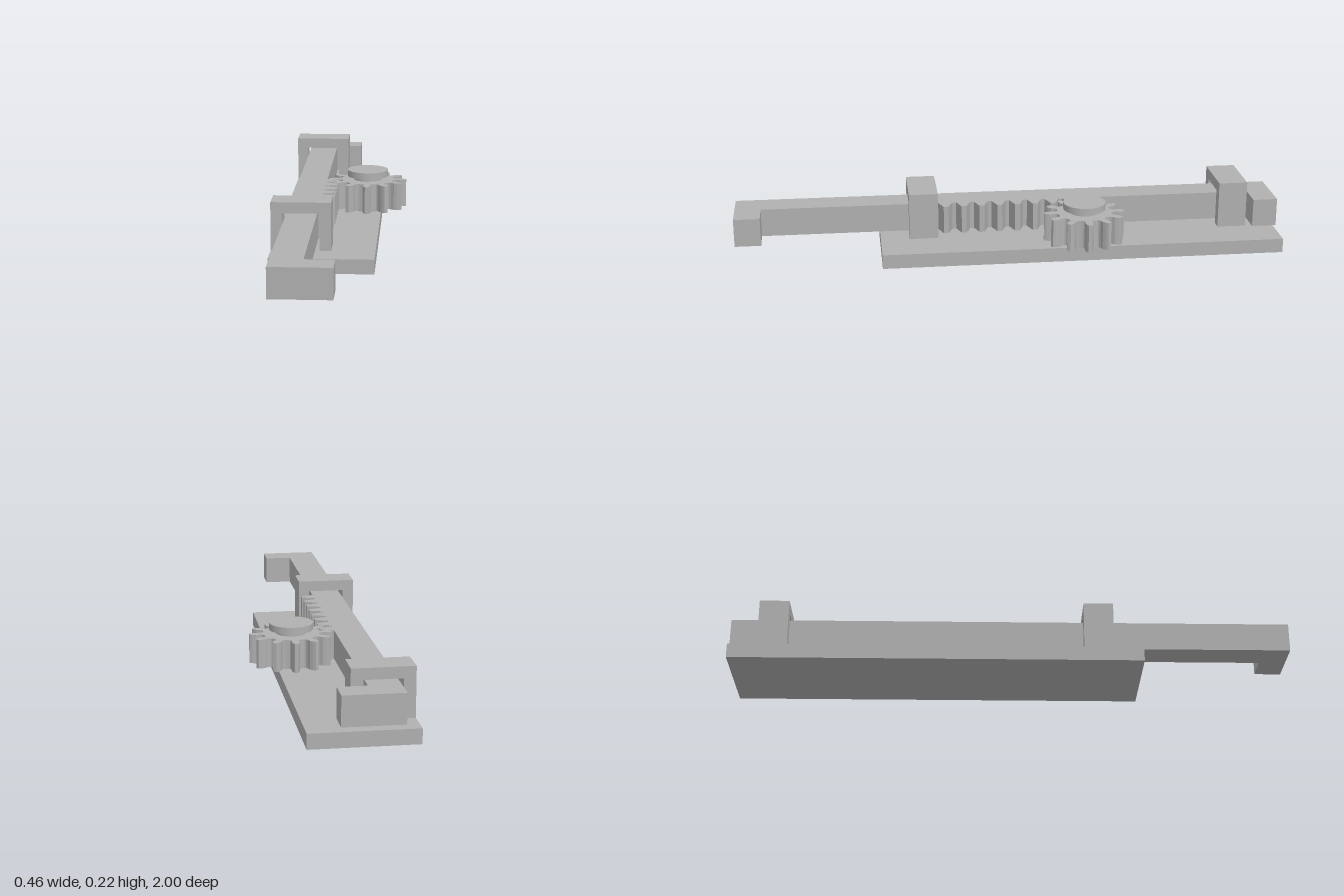
import * as THREE from 'three';

const grey = new THREE.MeshStandardMaterial({ color: 0xb0b0b0 });
grey.name = 'grey';

function part(name, geometry, x = 0, y = 0, z = 0) {
  const mesh = new THREE.Mesh(geometry, grey);
  mesh.name = name;
  mesh.position.set(x, y, z);
  return mesh;
}

// Flat outline given as [x, z] pairs, raised from y = 0 to the given height
function plate(points, height) {
  const shape = new THREE.Shape(points.map(([x, z]) => new THREE.Vector2(x, -z)));
  return new THREE.ExtrudeGeometry(shape, { depth: height, bevelEnabled: false }).rotateX(-Math.PI / 2);
}

const GEAR = { x: 0.082, z: -0.265, teeth: 12, pitch: 0.066 };
const BAR = { bottom: 0.067, height: 0.103 };

// Sliding bar with a hook at each end and a run of rack teeth
function rackOutline() {
  const left = -0.18, side = -0.072, tip = -0.026, hook = 0.027;
  const pts = [[left, -1], [hook, -1], [hook, -0.91], [side, -0.91]];
  for (let i = 0; i < 8; i++) {
    const z = GEAR.z + GEAR.pitch * (i + 0.5);
    pts.push([side, z - 0.026], [tip, z - 0.009], [tip, z + 0.009], [side, z + 0.026]);
  }
  pts.push([side, 0.905], [hook, 0.905], [hook, 1], [left, 1]);
  return pts;
}

// Gear outline: each tooth has a slim waist and rounded flanks
function gearOutline() {
  const flank = [[0.1, 0.017], [0.104, 0.0135], [0.113, 0.0125], [0.126, 0.0145], [0.138, 0.011], [0.147, 0.006]];
  const pts = [];
  for (let i = 0; i < GEAR.teeth; i++) {
    const mid = (i / GEAR.teeth) * Math.PI * 2;
    const add = (r, offset) => pts.push([r * Math.cos(mid + offset / r), r * Math.sin(mid + offset / r)]);
    flank.forEach(([r, half]) => add(r, -half));
    [...flank].reverse().forEach(([r, half]) => add(r, half));
    add(0.099, 0.099 * Math.PI / GEAR.teeth);
  }
  return pts;
}

// Upside-down U guide that straddles the bar
function guideGeometry() {
  const pts = [[-0.23, 0.052], [-0.19, 0.052], [-0.19, 0.184], [-0.06, 0.184],
    [-0.06, 0.052], [-0.02, 0.052], [-0.02, 0.223], [-0.23, 0.223]];
  const shape = new THREE.Shape(pts.map(([x, y]) => new THREE.Vector2(x, y)));
  return new THREE.ExtrudeGeometry(shape, { depth: 0.106, bevelEnabled: false });
}

export function createModel() {
  const model = new THREE.Group();
  model.name = 'rackAndPinion';

  model.add(part('basePlate', new THREE.BoxGeometry(0.364, 0.052, 1.472), -0.048, 0.026, -0.264));
  model.add(part('rackBar', plate(rackOutline(), BAR.height), 0, BAR.bottom, 0));

  const guide = guideGeometry();
  model.add(part('frontGuide', guide, 0, 0, 0.26));
  model.add(part('rearGuide', guide, 0, 0, -0.896));

  // Pinion with its axle and cap
  const pinion = new THREE.Group();
  pinion.name = 'pinion';
  pinion.position.set(GEAR.x, 0, GEAR.z);
  pinion.add(part('gear', plate(gearOutline(), BAR.height), 0, BAR.bottom, 0));
  pinion.add(part('axle', new THREE.CylinderGeometry(0.052, 0.052, 0.133, 48), 0, 0.1185, 0));
  pinion.add(part('axleCap', new THREE.CylinderGeometry(0.077, 0.077, 0.024, 48), 0, 0.196, 0));
  model.add(pinion);

  return model;
}
